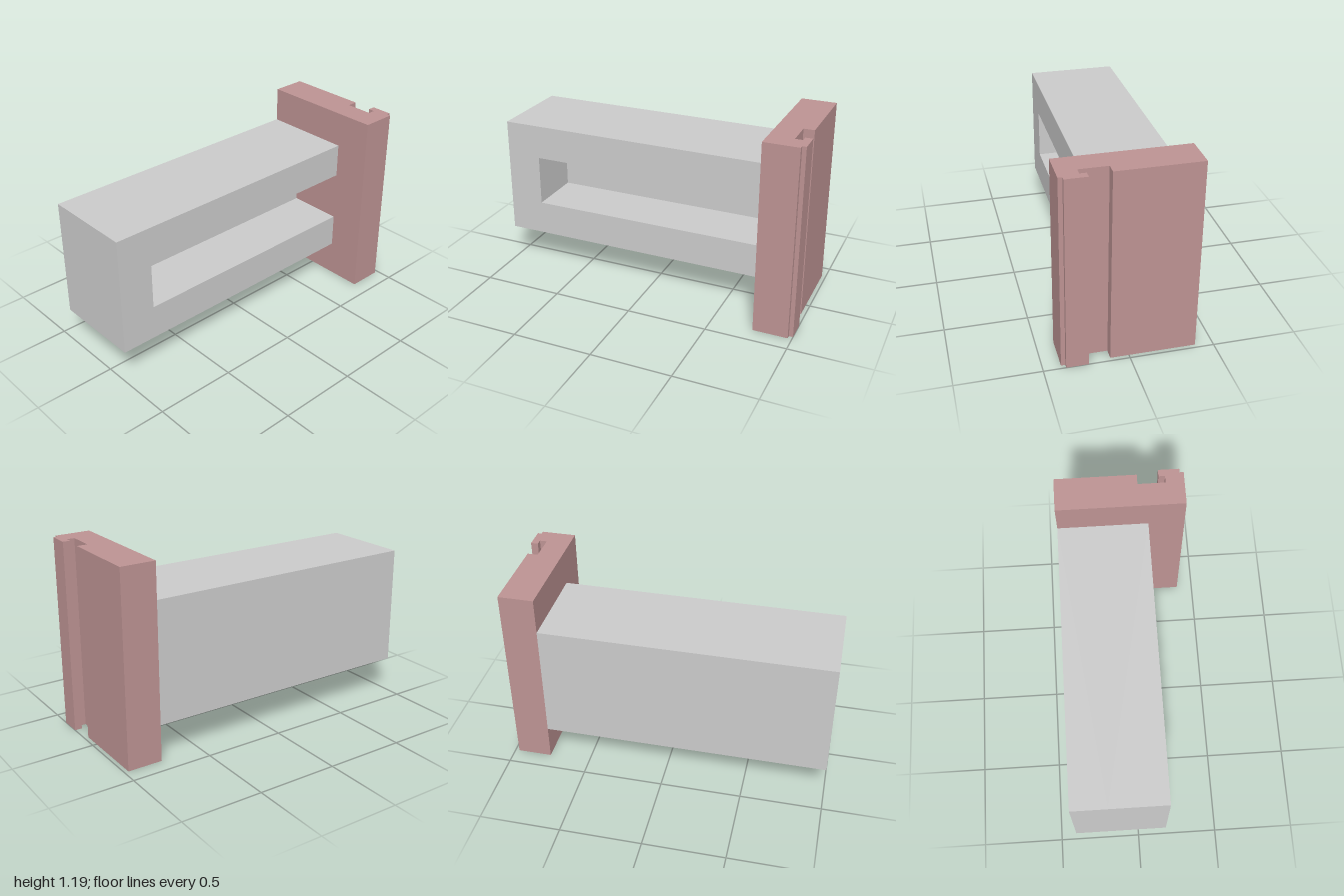
import * as THREE from 'three';

const grey = new THREE.MeshStandardMaterial({ color: 0xcccccc });
const rose = new THREE.MeshStandardMaterial({ color: 0xbd9393 });

// Prism from a closed outline of [x, y] points, extruded along +z
function prism(points, depth) {
  const shape = new THREE.Shape(points.map(([x, y]) => new THREE.Vector2(x, y)));
  return new THREE.ExtrudeGeometry(shape, { depth, bevelEnabled: false });
}

function addPart(group, name, geometry, material) {
  const mesh = new THREE.Mesh(geometry, material);
  mesh.name = name;
  group.add(mesh);
  return mesh;
}

export function createModel() {
  const model = new THREE.Group();
  model.name = 'slottedBracket';

  const left = -1, joint = 0.76;         // beam ends
  const bottom = 0.225, top = 0.97;      // beam height
  const back = -0.395, front = 0.17;     // beam depth
  const pocketDepth = 0.35;
  const floor = front - pocketDepth;

  // Beam: C-shaped rim around the front pocket, running up to the plate
  const rim = prism([
    [left, bottom], [joint, bottom], [joint, 0.44], [-0.78, 0.44],
    [-0.78, 0.755], [joint, 0.755], [joint, top], [left, top],
  ], pocketDepth);
  rim.translate(0, 0, floor);
  addPart(model, 'beamRim', rim, grey);

  // Beam: solid back that closes the pocket
  const web = new THREE.BoxGeometry(joint - left, top - bottom, floor - back);
  web.translate((left + joint) / 2, (bottom + top) / 2, (floor + back) / 2);
  addPart(model, 'beamBack', web, grey);

  // End plate: plan outline [x, z] with hooked groove, extruded upwards
  const outline = [
    [0.76, -0.395], [0.975, -0.395], [0.975, 0.11], [0.91, 0.11],
    [0.91, 0.28], [0.955, 0.28], [0.955, 0.24], [1, 0.24],
    [1, 0.37], [0.975, 0.37], [0.975, 0.395], [0.76, 0.395],
  ];
  const plate = prism(outline.map(([x, z]) => [x, -z]), 1.19);
  plate.rotateX(-Math.PI / 2);
  addPart(model, 'endPlate', plate, rose);

  return model;
}
